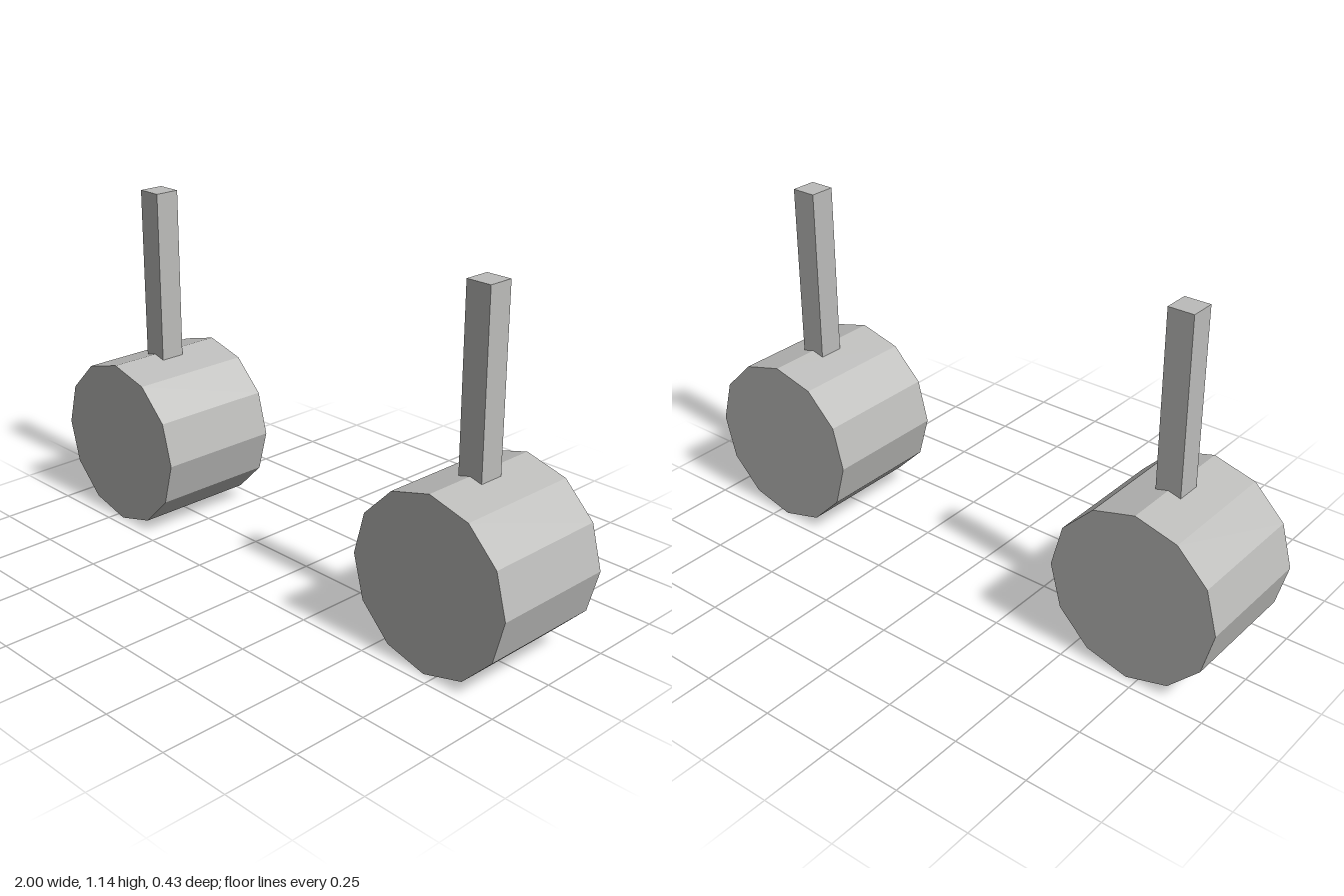
import * as THREE from 'three';

const R = 0.2857; // drum radius
const DEPTH = 0.4286;
const POST = 0.0857; // post thickness
const TOP = 1.143;

export function createModel() {
  const model = new THREE.Group();
  const grey = new THREE.MeshStandardMaterial({ color: 0xbcbcba });
  grey.name = 'grey';

  // Twelve-sided drum lying along z, with a corner pointing straight up
  const drumGeometry = new THREE.CylinderGeometry(R, R, DEPTH, 12).toNonIndexed();
  drumGeometry.rotateX(Math.PI / 2);
  drumGeometry.computeVertexNormals();

  // Square post rising from inside the drum
  const postHeight = TOP - R;
  const postGeometry = new THREE.BoxGeometry(POST, postHeight, POST);

  for (const [side, name] of [[1, 'left'], [-1, 'right']]) {
    const unit = new THREE.Group();
    unit.name = `${name}Unit`;
    unit.position.set(side * (1 - R), R, 0);

    const drum = new THREE.Mesh(drumGeometry, grey);
    drum.name = `${name}Drum`;

    const post = new THREE.Mesh(postGeometry, grey);
    post.name = `${name}Post`;
    post.position.y = postHeight / 2;

    unit.add(drum, post);
    model.add(unit);
  }
  return model;
}
